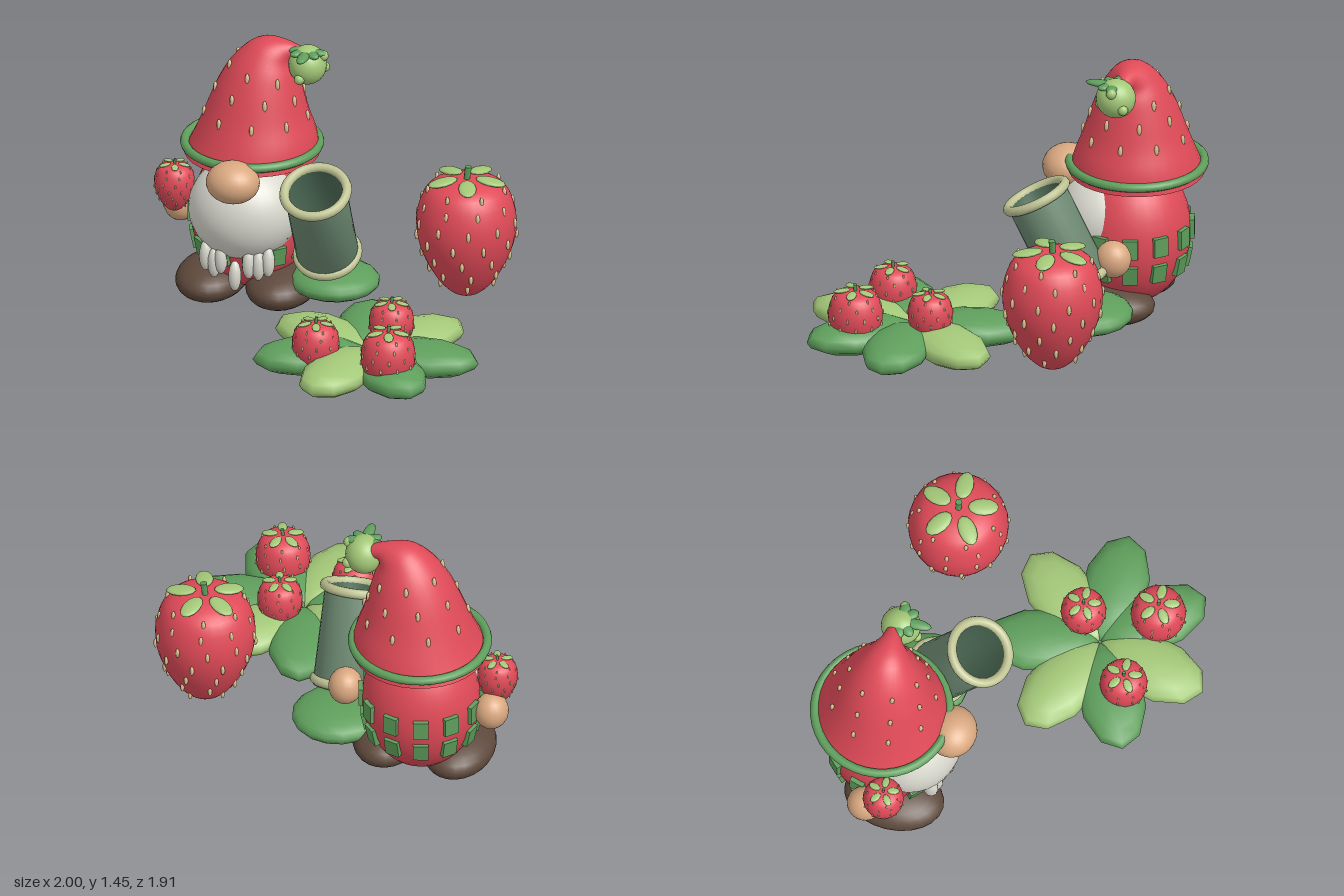
import * as THREE from 'three';
import { mergeGeometries } from 'three/addons/utils/BufferGeometryUtils.js';

const mat = (name, color) => {
  const m = new THREE.MeshStandardMaterial({ color });
  m.name = name;
  return m;
};
const RED = mat('berry red', 0xe04a58);
const GREEN = mat('leaf green', 0x5f9f5c);
const LIME = mat('light green', 0xa3c878);
const CREAM = mat('seed cream', 0xdfc592);
const SKIN = mat('skin', 0xd9a880);
const WHITE = mat('beard white', 0xd9d8ce);
const BROWN = mat('shoe brown', 0x5e493c);
const TUBE = mat('tube green', 0x6f8c74);
const DARK = mat('tube inside', 0x4d6b56);
const PALE = mat('rim pale', 0xc0c494);

const V3 = (x, y, z = 0) => new THREE.Vector3(x, y, z);

function add(parent, name, geo, material, pos = [0, 0, 0]) {
  const m = new THREE.Mesh(geo, material);
  m.name = name;
  m.position.set(...pos);
  parent.add(m);
  return m;
}

function ellipsoid(parent, name, material, pos, radii, seg = 24) {
  const geo = new THREE.SphereGeometry(1, seg, Math.max(8, Math.round(seg * 0.66)));
  geo.scale(...radii);
  return add(parent, name, geo, material, pos);
}

// Many small upright seeds as one mesh
function seeds(parent, points, radii) {
  const geos = points.map(p => new THREE.SphereGeometry(1, 6, 5).scale(...radii).translate(p.x, p.y, p.z));
  add(parent, 'seeds', mergeGeometries(geos), CREAM);
}

// Strawberry of unit radius, scaled; pos is its bottom point
function strawberry(name, pos, r) {
  const g = new THREE.Group();
  g.name = name;
  const curve = new THREE.CatmullRomCurve3([
    V3(0, 0), V3(0.25, 0.06), V3(0.55, 0.34), V3(0.86, 0.9), V3(0.99, 1.4),
    V3(0.97, 1.85), V3(0.78, 2.3), V3(0.4, 2.49), V3(0, 2.5)]);
  const pts = curve.getPoints(28).map(p => new THREE.Vector2(Math.max(0, p.x), p.y));
  add(g, 'fruit', new THREE.LatheGeometry(pts, 28), RED);

  const spots = [];
  [[2.3, 7], [2.0, 9], [1.65, 10], [1.3, 10], [0.95, 9], [0.62, 8], [0.33, 5]].forEach(([y, n], row) => {
    const k = pts.findIndex(p => p.y >= y);
    for (let i = 0; i < n; i++) {
      const a = (i + (row % 2) / 2) / n * Math.PI * 2;
      spots.push(V3(Math.cos(a) * pts[k].x, y, Math.sin(a) * pts[k].x));
    }
  });
  seeds(g, spots, [0.045, 0.11, 0.045]);

  for (let i = 0; i < 5; i++) {
    const pivot = new THREE.Group();
    pivot.name = 'sepal';
    pivot.rotation.y = i / 5 * Math.PI * 2;
    g.add(pivot);
    ellipsoid(pivot, 'sepalLeaf', LIME, [0.5, 2.49, 0], [0.31, 0.06, 0.18], 12).rotation.z = -0.15;
  }
  add(g, 'stem', new THREE.CylinderGeometry(0.07, 0.06, 0.32, 8), GREEN, [0.02, 2.6, 0]).rotation.z = -0.12;
  g.scale.setScalar(r);
  g.position.set(...pos);
  return g;
}

// Hat lofted between a left and a right outline, curling towards +x
function buildHat() {
  const g = new THREE.Group();
  g.name = 'hat';
  const left = new THREE.CatmullRomCurve3([
    V3(-0.855, 0.8), V3(-0.8, 0.91), V3(-0.75, 1.03), V3(-0.675, 1.21), V3(-0.585, 1.35),
    V3(-0.465, 1.445), V3(-0.33, 1.45), V3(-0.22, 1.41), V3(-0.16, 1.36)]);
  const right = new THREE.CatmullRomCurve3([
    V3(-0.145, 0.8), V3(-0.16, 0.91), V3(-0.2, 1.03), V3(-0.235, 1.17), V3(-0.262, 1.27),
    V3(-0.285, 1.33), V3(-0.275, 1.35), V3(-0.25, 1.34), V3(-0.16, 1.355)]);
  const at = (t, a) => {
    const l = left.getPoint(t), r = right.getPoint(t);
    const half = r.clone().sub(l).multiplyScalar(0.5);
    const p = l.add(r).multiplyScalar(0.5).addScaledVector(half, Math.cos(a));
    p.z = -0.578 + half.length() * Math.sin(a);
    return p;
  };
  const N = 32, M = 28, pos = [], idx = [];
  for (let i = 0; i <= M; i++) {
    for (let j = 0; j < N; j++) pos.push(...at(i / M, j / N * Math.PI * 2).toArray());
  }
  for (let i = 0; i < M; i++) {
    for (let j = 0; j < N; j++) {
      const a = i * N + j, b = i * N + (j + 1) % N;
      idx.push(a, a + N, b, b, a + N, b + N);
    }
  }
  const geo = new THREE.BufferGeometry();
  geo.setAttribute('position', new THREE.Float32BufferAttribute(pos, 3));
  geo.setIndex(idx);
  geo.computeVertexNormals();
  add(g, 'hatCone', geo, RED);
  add(g, 'hatUnderside', new THREE.CircleGeometry(0.355, 32).rotateX(Math.PI / 2), RED, [-0.5, 0.8, -0.578]);
  add(g, 'hatBrim', new THREE.TorusGeometry(0.352, 0.024, 10, 40).rotateX(Math.PI / 2), GREEN, [-0.5, 0.85, -0.578]);

  const spots = [];
  [[0.25, 9], [0.35, 8], [0.46, 7]].forEach(([t, n], row) => {
    for (let i = 0; i < n; i++) spots.push(at(t, (i + row * 0.5) / n * Math.PI * 2));
  });
  seeds(g, spots, [0.013, 0.033, 0.013]);

  // Green bobble with leaves at the tip
  const bob = new THREE.Group();
  bob.name = 'bobble';
  bob.position.set(-0.193, 1.335, -0.555);
  g.add(bob);
  ellipsoid(bob, 'bobbleBall', LIME, [0, 0, 0], [0.1, 0.105, 0.105]);
  [[-0.02, -0.05, 0.09], [0.085, 0.06, 0], [0.075, -0.03, -0.06]].forEach(p =>
    ellipsoid(bob, 'bobbleBump', LIME, p, [0.028, 0.028, 0.028], 10));
  for (let i = 0; i < 5; i++) {
    const pivot = new THREE.Group();
    pivot.name = 'bobbleLeaf';
    pivot.rotation.y = -Math.PI / 2 + (i - 2) * 0.75;
    pivot.position.y = 0.075;
    bob.add(pivot);
    const len = i === 2 ? 0.08 : 0.05;
    ellipsoid(pivot, 'leaf', GREEN, [len + 0.005, 0, 0], [len, 0.018, 0.03], 12);
  }
  return g;
}

function buildGnome() {
  const g = new THREE.Group();
  g.name = 'gnome';
  ellipsoid(g, 'body', RED, [-0.5, 0.46, -0.55], [0.31, 0.4, 0.31], 32);
  ellipsoid(g, 'beard', WHITE, [-0.497, 0.54, -0.42], [0.295, 0.275, 0.27], 32);
  ellipsoid(g, 'nose', SKIN, [-0.497, 0.778, -0.2], [0.142, 0.112, 0.13]);
  for (const s of [-1, 1]) {
    ellipsoid(g, 'shoe', BROWN, [-0.493 + s * 0.19, 0.11, -0.465], [0.187, 0.108, 0.265]);
    ellipsoid(g, 'hand', SKIN, [-0.49 + s * 0.395, 0.46, -0.57], [0.09, 0.1, 0.095], 20);
  }
  // Pointed locks under the beard
  [[-0.17, 0.31], [-0.12, 0.28], [-0.08, 0.31], [0, 0.23], [0.07, 0.3], [0.12, 0.29], [0.17, 0.31]].forEach(([x, y]) =>
    ellipsoid(g, 'beardLock', WHITE, [-0.495 + x, y, -0.23 - Math.abs(x) * 0.25], [0.034, 0.085, 0.04], 12));
  // Two rows of square patches around the body
  for (const y of [0.32, 0.475]) {
    const r = 0.31 * Math.sqrt(1 - ((y - 0.46) / 0.4) ** 2);
    for (let i = 0; i < 12; i++) {
      const a = (i + 0.5) / 12 * Math.PI * 2;
      const p = add(g, 'patch', new THREE.BoxGeometry(0.08, 0.105, 0.035), GREEN,
        [-0.5 + Math.sin(a) * r, y, -0.55 + Math.cos(a) * r]);
      p.rotation.set(y < 0.4 ? 0.2 : 0, a, 0, 'YXZ');
    }
  }
  g.add(buildHat());
  g.add(strawberry('heldStrawberry', [-0.89, 0.455, -0.47], 0.106));
  return g;
}

// Tilted launcher tube on its leaf
function buildLauncher() {
  const g = new THREE.Group();
  g.name = 'launcher';
  ellipsoid(g, 'baseLeaf', GREEN, [-0.02, 0.17, -0.46], [0.24, 0.083, 0.232], 16);
  const tube = new THREE.Group();
  tube.name = 'tube';
  tube.position.set(-0.04, 0.32, -0.41);
  tube.rotation.x = 0.472;
  g.add(tube);
  const lathe = pts => new THREE.LatheGeometry(pts.map(p => new THREE.Vector2(...p)), 28);
  add(tube, 'tubeOutside', lathe([[0, 0], [0.163, 0], [0.163, 0.53]]), TUBE);
  add(tube, 'tubeInside', lathe([[0.14, 0.53], [0.14, 0.05], [0, 0.05]]), DARK);
  for (const [y, r] of [[0.03, 0.157], [0.53, 0.165]]) {
    add(tube, 'tubeRim', new THREE.TorusGeometry(r, 0.026, 10, 32).rotateX(Math.PI / 2), PALE, [0, y, 0]);
  }
  return g;
}

// Flat rosette of seven leaves with three berries
function buildPatch() {
  const g = new THREE.Group();
  g.name = 'berryPatch';
  for (let i = 0; i < 7; i++) {
    const pivot = new THREE.Group();
    pivot.name = 'rosetteLeaf';
    pivot.position.set(0.39, 0.17, 0.365);
    pivot.rotation.y = -i / 7 * Math.PI * 2;
    g.add(pivot);
    ellipsoid(pivot, 'leaf', [2, 4, 6].includes(i) ? LIME : GREEN, [0.305, 0, 0], [0.3, 0.086, 0.175], 10);
  }
  g.add(strawberry('patchStrawberry', [0.49, 0.115, 0.25], 0.118));
  g.add(strawberry('patchStrawberry', [0.165, 0.075, 0.55], 0.124));
  g.add(strawberry('patchStrawberry', [0.58, 0.06, 0.63], 0.143));
  return g;
}

export function createModel() {
  const model = new THREE.Group();
  model.name = 'strawberryGnomeScene';
  model.add(buildGnome(), buildLauncher(), buildPatch());
  model.add(strawberry('bigStrawberry', [0.69, 0.17, -0.475], 0.263));
  return model;
}
